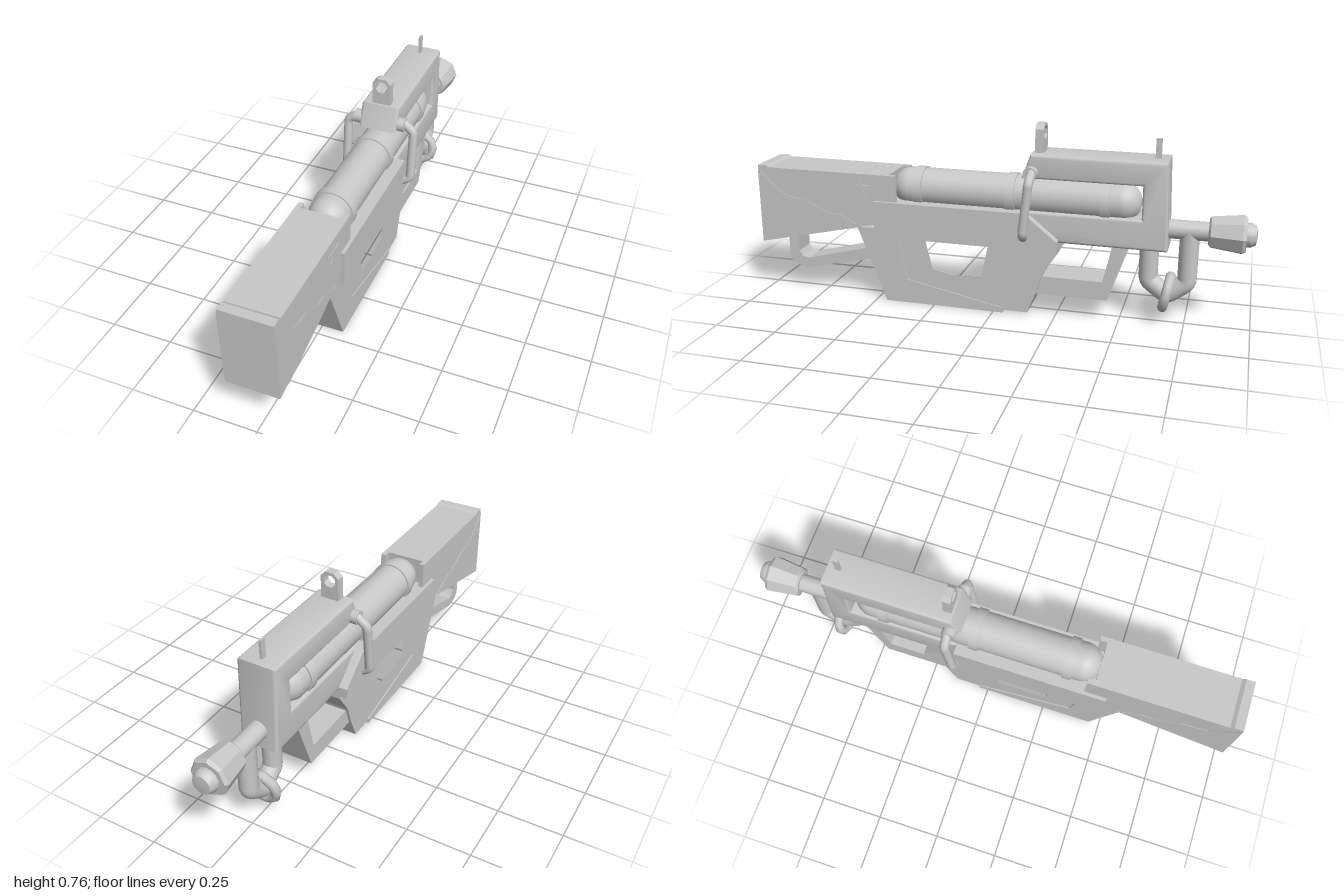
import * as THREE from 'three';
import { toCreasedNormals } from 'three/addons/utils/BufferGeometryUtils.js';

const grey = new THREE.MeshStandardMaterial({ color: 0xc8c8c8 });
grey.name = 'plain grey';

export function createModel() {
  const model = new THREE.Group();
  model.name = 'blaster';

  const add = (name, geometry, x = 0, y = 0, z = 0) => {
    const mesh = new THREE.Mesh(geometry, grey);
    mesh.name = name;
    mesh.position.set(x, y, z);
    model.add(mesh);
    return mesh;
  };
  const shapeOf = (pts) => new THREE.Shape(pts.map((p) => new THREE.Vector2(...p)));

  // Side profile given as [z, y], extruded across x and centred on x
  const slab = (name, pts, width, { holes = [], bevel = 0, x = 0 } = {}) => {
    const shape = shapeOf(pts);
    holes.forEach((h) => shape.holes.push(shapeOf(h)));
    const depth = width - 2 * bevel;
    let g = new THREE.ExtrudeGeometry(shape, {
      depth, bevelEnabled: bevel > 0, bevelSize: bevel, bevelThickness: bevel,
      bevelOffset: -bevel, bevelSegments: 3,
    });
    g.translate(0, 0, -depth / 2);
    g.rotateY(-Math.PI / 2);
    if (bevel) g = toCreasedNormals(g, 0.7);
    return add(name, g, x);
  };

  // Round pipe along a polyline with slightly rounded corners
  const pipe = (name, pts, radius, sides = 12) => {
    const p = pts.map((v) => new THREE.Vector3(...v));
    const path = new THREE.CurvePath();
    let from = p[0];
    for (let i = 1; i < p.length - 1; i++) {
      const a = p[i].clone().add(p[i - 1].clone().sub(p[i]).setLength(0.015));
      const b = p[i].clone().add(p[i + 1].clone().sub(p[i]).setLength(0.015));
      path.add(new THREE.LineCurve3(from, a));
      path.add(new THREE.QuadraticBezierCurve3(a, p[i], b));
      from = b;
    }
    path.add(new THREE.LineCurve3(from, p[p.length - 1]));
    return add(name, new THREE.TubeGeometry(path, 60, radius, sides, false));
  };

  // Lathe profile [radius, distance], turned to run towards -z
  const turned = (name, pts, sides, y, z) => {
    const g = new THREE.LatheGeometry(pts.map((p) => new THREE.Vector2(...p)), sides);
    g.rotateX(-Math.PI / 2);
    return add(name, toCreasedNormals(g, 0.6), 0, y, z);
  };

  // Shoulder stock: core stops at the tube, cheeks reach past its end
  slab('stockCore', [[1, 0.215], [0.43, 0.345], [0.43, 0.537], [0.95, 0.537], [0.965, 0.545], [1, 0.545]], 0.16);
  for (const s of [1, -1]) {
    slab('stockCheek', [[1, 0.215], [0.4, 0.35], [0.4, 0.537], [0.95, 0.537], [0.965, 0.545], [1, 0.545]],
      0.02, { x: s * 0.09 });
    slab('stockWavePanel', [[1, 0.215], [1, 0.53], [0.95, 0.48], [0.89, 0.43], [0.84, 0.415], [0.79, 0.41],
      [0.74, 0.385], [0.69, 0.365], [0.64, 0.36], [0.58, 0.33], [0.54, 0.318]], 0.003, { x: s * 0.101 });
  }
  const star = [];
  for (let i = 0; i < 10; i++) {
    const r = i % 2 ? 0.014 : 0.045, a = Math.PI / 2 + (i * Math.PI) / 5;
    star.push([0.55 + r * Math.cos(a), 0.48 + r * Math.sin(a)]);
  }
  slab('stockStar', star, 0.003, { x: 0.101 });

  // Strap loop under the stock
  slab('stockLoop', [[0.91, 0.25], [0.908, 0.13], [0.885, 0.105], [0.83, 0.093], [0.5, 0.17], [0.5, 0.22],
    [0.82, 0.138], [0.85, 0.142], [0.865, 0.165], [0.865, 0.25]], 0.094);

  // Main frame wrapping round the tube, and wide side rails
  slab('frame', [[0.46, 0.3], [0.46, 0.43], [-0.575, 0.43], [-0.575, 0.56], [-0.11, 0.56], [-0.145, 0.655],
    [-0.665, 0.655], [-0.677, 0.31], [-0.25, 0.31]], 0.156, { bevel: 0.012 });
  slab('sideRails', [[0.49, 0.283], [0.49, 0.43], [-0.13, 0.43], [-0.26, 0.325], [-0.26, 0.283]], 0.227);

  // Gas tube with bands
  const tube = new THREE.CapsuleGeometry(0.078, 0.85, 10, 28);
  tube.rotateX(Math.PI / 2);
  add('tube', tube, 0, 0.477, -0.065);
  for (const z of [0.317, -0.062, -0.435]) {
    const g = new THREE.CylinderGeometry(0.085, 0.085, 0.036, 28);
    g.rotateX(Math.PI / 2);
    add('tubeBand', g, 0, 0.475, z);
  }

  // Rear grip with thumb hole and raised edge panels
  slab('rearGrip', [[0.575, 0.31], [0.455, 0], [-0.04, 0], [-0.04, 0.01], [-0.14, 0.01], [-0.175, 0.1],
    [-0.2, 0.18], [-0.26, 0.27], [-0.26, 0.31]], 0.164,
  { holes: [[[0.285, 0.283], [0.25, 0.138], [0.05, 0.138], [0.02, 0.283]]] });
  for (const s of [1, -1]) {
    slab('gripPanel', [[0.575, 0.31], [0.455, 0], [-0.04, 0], [-0.04, 0.02], [0.36, 0.1], [0.405, 0.31]],
      0.006, { x: s * 0.084 });
  }

  // Fore grip loop
  slab('foreGrip', [[-0.14, 0.09], [-0.455, 0.09], [-0.535, 0.32], [-0.47, 0.32], [-0.435, 0.165],
    [-0.16, 0.165]], 0.14);

  // Barrel and flared muzzle
  turned('barrel', [[0.037, 0], [0.037, 0.22]], 20, 0.383, -0.64);
  turned('muzzle', [[0, 0], [0.052, 0], [0.062, 0.008], [0.077, 0.125], [0.068, 0.138], [0, 0.138]], 8, 0.383, -0.822);
  turned('muzzleCap', [[0.047, 0], [0.047, 0.025], [0.036, 0.045], [0, 0.05]], 14, 0.383, -0.95);

  // Hanging pipe with a ring through it
  pipe('hangingPipe', [[0, 0.34, -0.603], [0, 0.17, -0.603], [0, 0.115, -0.677], [0, 0.17, -0.752],
    [0, 0.385, -0.752]], 0.037, 16);
  const ring = add('ring', new THREE.TorusGeometry(0.062, 0.02, 10, 10), 0, 0.125, -0.677);
  ring.rotation.x = -0.2;

  // Side handles on round bosses
  for (const s of [1, -1]) {
    const boss = new THREE.CylinderGeometry(0.028, 0.028, 0.05, 16);
    boss.rotateZ(Math.PI / 2);
    add('handleBoss', boss, s * 0.08, 0.584, -0.15);
    pipe('sideHandle', [[s * 0.08, 0.595, -0.155], [s * 0.1, 0.588, -0.155], [s * 0.139, 0.557, -0.153],
      [s * 0.139, 0.352, -0.13], [s * 0.1, 0.328, -0.127]], 0.018);
  }

  // Ring sight and post sight
  const plate = shapeOf([[-0.037, 0.64], [0.037, 0.64], [0.037, 0.745], [0.018, 0.765], [-0.018, 0.765], [-0.037, 0.745]]);
  const hole = [];
  for (let i = 0; i < 8; i++) {
    const a = ((i + 0.5) * Math.PI) / 4;
    hole.push([0.026 * Math.cos(a), 0.729 + 0.026 * Math.sin(a)]);
  }
  plate.holes.push(shapeOf(hole));
  add('ringSight', new THREE.ExtrudeGeometry(plate, { depth: 0.033, bevelEnabled: false }), 0, 0, -0.188);
  add('postSight', new THREE.BoxGeometry(0.011, 0.09, 0.022), 0, 0.685, -0.62);

  return model;
}
